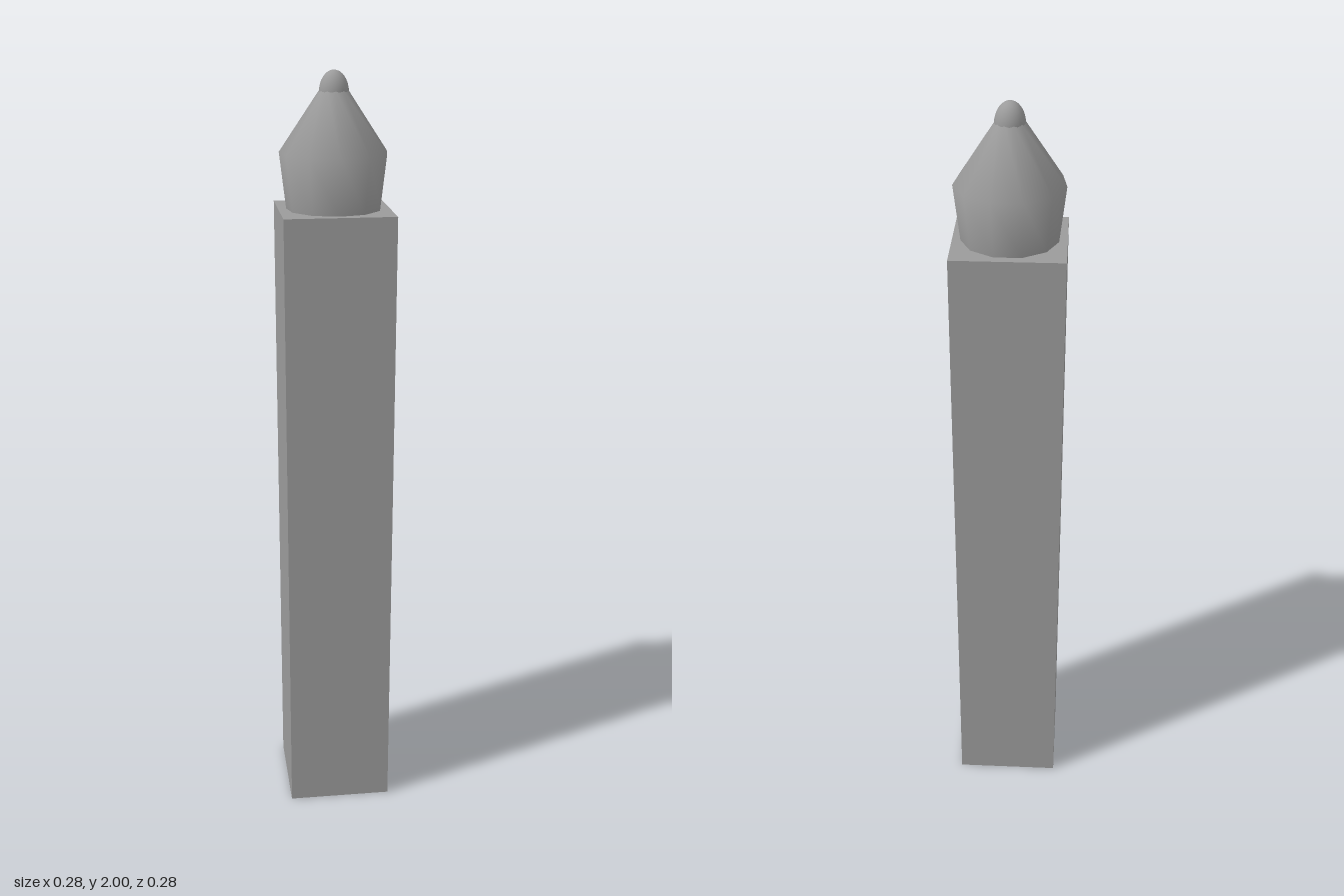
import * as THREE from 'three';

export function createModel() {
  const group = new THREE.Group();
  const color = 0x9b9b9b;
  const smooth = new THREE.MeshStandardMaterial({ color, side: THREE.DoubleSide });
  const flat = new THREE.MeshStandardMaterial({ color, side: THREE.DoubleSide, flatShading: true });

  const add = (name, geometry, material, y) => {
    const mesh = new THREE.Mesh(geometry, material);
    mesh.name = name;
    mesh.position.y = y;
    group.add(mesh);
  };

  // Square post, slightly wider at the top and open underneath
  const height = 1.658, topHalf = 0.142, bottomHalf = 0.138;
  const post = new THREE.CylinderGeometry(topHalf * Math.SQRT2, bottomHalf * Math.SQRT2, height, 4, 1, true);
  post.rotateY(Math.PI / 4);
  add('post', post, flat, height / 2);

  // Flat cap closing the top of the post
  const cap = new THREE.PlaneGeometry(topHalf * 2, topHalf * 2);
  cap.rotateX(-Math.PI / 2);
  add('postCap', cap, flat, height);

  // Eleven-sided finial: flared collar and tapering cone
  const profile = [[0.122, 0], [0.139, 0.142], [0.037, 0.293]].map(([r, y]) => new THREE.Vector2(r, y));
  add('finial', new THREE.LatheGeometry(profile, 11), smooth, height);

  // Tall rounded tip
  const tipRadius = 0.038, tipHeight = 0.056;
  const tip = new THREE.SphereGeometry(tipRadius, 24, 16);
  tip.scale(1, tipHeight / tipRadius, 1);
  add('finialTip', tip, smooth, 2 - tipHeight);

  return group;
}
